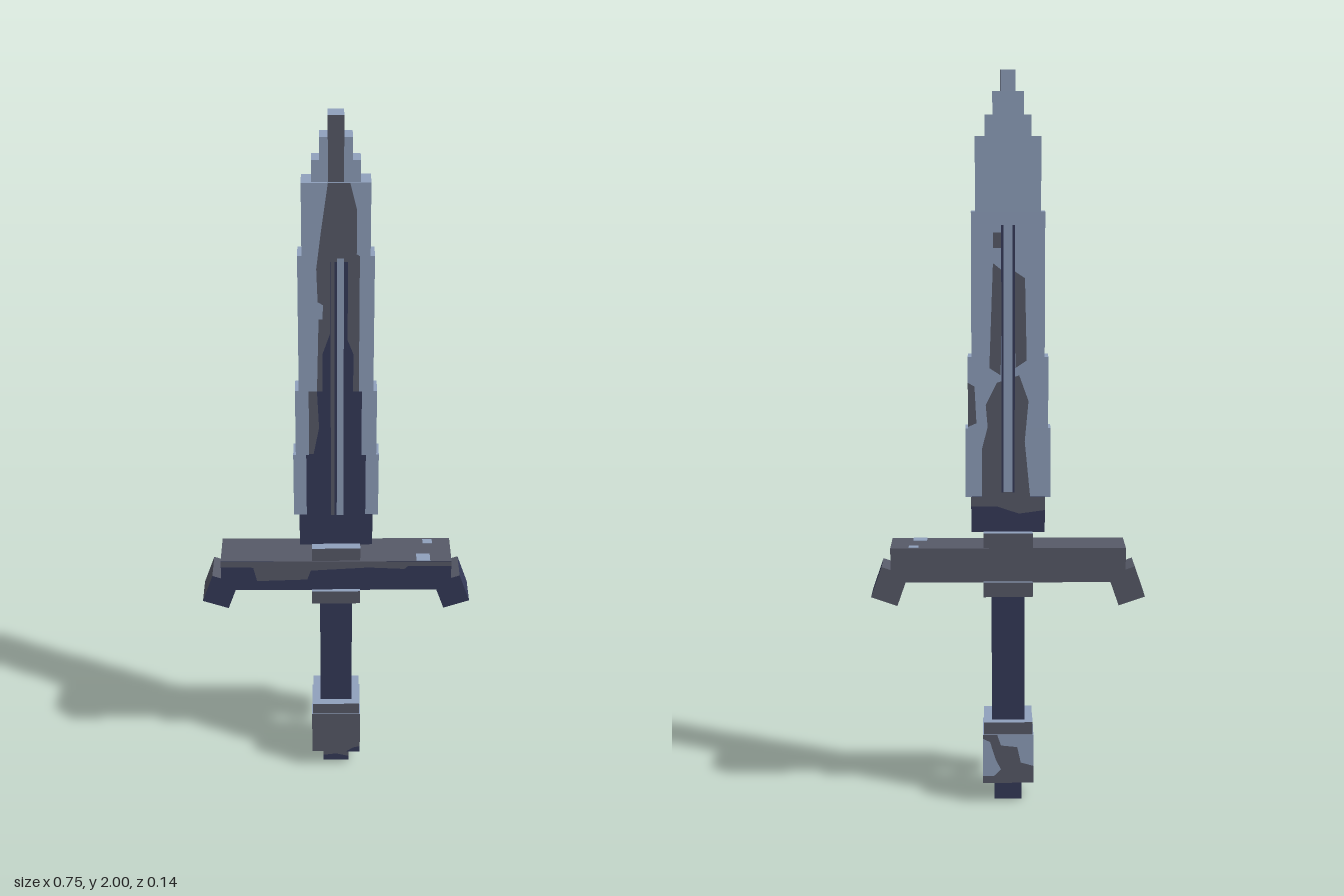
import * as THREE from 'three';

const mat = (name, color) => {
  const m = new THREE.MeshStandardMaterial({ color });
  m.name = name;
  return m;
};

export function createModel() {
  const light = mat('light steel', 0x8fa0bc);
  const grey = mat('worn grey', 0x575a68);
  const navy = mat('dark navy', 0x353a59);
  const sword = new THREE.Group();
  sword.name = 'sword';

  // Box from half width, bottom, top, half depth; faces: right, left, top, bottom, front, back
  const block = (parent, name, hx, y0, y1, hz, faces) => {
    const mesh = new THREE.Mesh(new THREE.BoxGeometry(hx * 2, y1 - y0, hz * 2), faces);
    mesh.position.y = (y0 + y1) / 2;
    mesh.name = name;
    parent.add(mesh);
    return mesh;
  };

  // Flat painted patch on a side: outline in (x or z, y), placed just off the surface
  const ANGLE = { front: 0, back: Math.PI, left: Math.PI / 2, right: -Math.PI / 2 };
  const patch = (name, side, depth, material, points, layer = 1) => {
    // outline is given in model coordinates, so convert to the side's own horizontal axis
    const sign = side === 'back' || side === 'left' ? -1 : 1;
    const shape = new THREE.Shape(points.map(([u, y]) => new THREE.Vector2(u * sign, y)));
    const geo = new THREE.ShapeGeometry(shape);
    geo.translate(0, 0, depth + 0.0012 * layer);
    geo.rotateY(ANGLE[side]);
    const mesh = new THREE.Mesh(geo, material);
    mesh.name = name;
    sword.add(mesh);
  };
  const rect = (x0, x1, y0, y1) => [[x0, y0], [x1, y0], [x1, y1], [x0, y1]];

  // Pommel
  block(sword, 'pommelTip', 0.038, 0, 0.065, 0.038, [navy, navy, grey, navy, navy, navy]);
  block(sword, 'pommel', 0.07, 0.06, 0.2, 0.07, [grey, grey, light, grey, grey, grey]);
  block(sword, 'pommelCap', 0.067, 0.2, 0.236, 0.067, [grey, grey, light, grey, grey, grey]);
  patch('pommelTipWear', 'front', 0.038, grey, [[-0.038, 0.02], [0, 0.025], [0.038, 0.015], [0.038, 0.06], [-0.038, 0.06]]);
  patch('pommelStain', 'front', 0.07, navy, [[0.03, 0.06], [0.07, 0.06], [0.07, 0.08], [0.05, 0.075]]);
  patch('pommelSideStain', 'left', 0.07, navy,
    [[0.045, 0.06], [-0.07, 0.06], [-0.07, 0.15], [-0.055, 0.14], [-0.05, 0.09], [-0.02, 0.075]]);
  patch('pommelShineRight', 'back', 0.07, light,
    [[-0.07, 0.11], [-0.07, 0.2], [0.03, 0.2], [0.02, 0.17], [-0.025, 0.165], [-0.035, 0.12]]);
  patch('pommelShineLeft', 'back', 0.07, light,
    [[0.07, 0.08], [0.07, 0.19], [0.05, 0.18], [0.035, 0.13], [0.02, 0.1], [0.04, 0.08]]);
  patch('pommelSideShine', 'right', 0.07, light, [[-0.07, 0.11], [-0.07, 0.17], [-0.03, 0.17], [-0.04, 0.12]]);

  // Grip
  block(sword, 'grip', 0.045, 0.236, 0.6, 0.045, navy);

  // Crossguard with collars and angled ends
  block(sword, 'lowerCollar', 0.067, 0.595, 0.636, 0.068, [navy, grey, light, navy, grey, grey]);
  block(sword, 'upperCollar', 0.067, 0.7, 0.77, 0.055, [grey, grey, light, navy, grey, grey]);
  block(sword, 'crossguard', 0.32, 0.634, 0.73, 0.058, [navy, navy, grey, navy, navy, grey]);
  patch('guardWear', 'front', 0.058, grey, [[-0.32, 0.73], [-0.32, 0.712], [-0.23, 0.71],
    [-0.22, 0.665], [-0.08, 0.67], [-0.07, 0.7], [0.09, 0.71], [0.19, 0.705], [0.2, 0.715], [0.32, 0.715], [0.32, 0.73]]);
  patch('guardEndWear', 'left', 0.32, grey, [[0.058, 0.7], [-0.058, 0.695], [-0.058, 0.73], [0.058, 0.73]]);
  patch('guardEndScuff', 'left', 0.32, light, rect(-0.04, 0.045, 0.668, 0.68));
  const shine = new THREE.Mesh(new THREE.BoxGeometry(0.038, 0.002, 0.034), light);
  shine.name = 'guardTopShine';
  shine.position.set(0.242, 0.7305, 0.04);
  sword.add(shine);
  const fleck = shine.clone();
  fleck.scale.set(0.7, 1, 0.6);
  fleck.position.set(0.257, 0.7305, -0.042);
  sword.add(fleck);
  for (const s of [-1, 1]) {
    const outer = s < 0 ? grey : navy;
    const end = block(sword, s < 0 ? 'rightGuardEnd' : 'leftGuardEnd', 0.038, 0.575, 0.665, 0.048,
      [outer, outer, grey, navy, navy, grey]);
    end.position.x = s * 0.324;
    end.rotation.z = s * 0.335;
  }

  // Blade: stepped slabs narrowing to the tip
  block(sword, 'bladeBase', 0.1, 0.768, 0.867, 0.03, navy);
  const steps = [
    // half width, bottom, top, half depth, left side colour, right side colour, front colour
    [0.115, 0.866, 1.056, 0.03, navy, grey, light],
    [0.108, 1.056, 1.25, 0.03, grey, grey, light],
    [0.098, 1.25, 1.635, 0.03, grey, navy, light],
    [0.087, 1.635, 1.83, 0.03, grey, grey, light],
    [0.061, 1.83, 1.886, 0.024, grey, grey, light],
    [0.041, 1.886, 1.945, 0.024, grey, grey, light],
    [0.02, 1.945, 2, 0.024, grey, grey, grey],
  ];
  steps.forEach(([hx, y0, y1, hz, l, r, f], i) =>
    block(sword, 'bladeStep' + (i + 1), hx, y0, y1, hz, [l, r, light, navy, f, light]));
  patch('bladeSideShade', 'left', 0.108, navy, rect(-0.03, 0.03, 1.056, 1.11));
  patch('bladeSideSpot', 'left', 0.098, navy, [[0.03, 1.25], [-0.005, 1.25], [-0.01, 1.27], [0.03, 1.29]]);

  // Front painted core
  patch('frontCoreLower', 'front', 0.03, navy, rect(-0.08, 0.08, 0.866, 1.056));
  patch('frontCoreMiddle', 'front', 0.03, navy, rect(-0.072, 0.068, 1.056, 1.25));
  patch('frontCoreUpper', 'front', 0.03, grey, [[-0.05, 1.25], [0.06, 1.25], [0.06, 1.635],
    [0.052, 1.64], [0.052, 1.76], [0.035, 1.83], [-0.02, 1.83], [-0.038, 1.7], [-0.05, 1.6], [-0.045, 1.45]]);
  patch('frontCoreShade', 'front', 0.03, navy, [[-0.035, 1.25], [0.045, 1.25], [0.045, 1.36], [0.03, 1.4],
    [0.03, 1.62], [-0.015, 1.62], [-0.015, 1.42], [-0.035, 1.36]], 2);
  patch('frontCoreWear', 'front', 0.03, grey, [[-0.072, 1.06], [-0.06, 1.06], [-0.045, 1.14], [-0.05, 1.25], [-0.072, 1.25]], 2);
  patch('frontFuller', 'front', 0.03, light, rect(0.002, 0.02, 0.866, 1.63), 3);
  patch('frontFullerEdge', 'front', 0.03, grey, rect(-0.014, -0.004, 0.866, 1.63), 3);
  patch('frontShoulderSpot', 'front', 0.024, grey, rect(-0.02, 0.02, 1.83, 1.945));
  patch('frontGlint', 'front', 0.03, light, [[-0.05, 1.46], [-0.035, 1.46], [-0.033, 1.5], [-0.05, 1.51]], 2);

  // Back painted core
  patch('backBaseWear', 'back', 0.03, grey, [[-0.1, 0.83], [-0.03, 0.82], [0.03, 0.84], [0.1, 0.84], [0.1, 0.866], [-0.1, 0.866]]);
  patch('backCoreLower', 'back', 0.03, grey, [[-0.06, 0.866], [0.07, 0.866], [0.07, 1.0], [0.055, 1.06],
    [0.06, 1.12], [0.03, 1.18], [-0.03, 1.2], [-0.055, 1.13], [-0.045, 1.02]]);
  patch('backCoreRight', 'back', 0.03, grey, [[-0.05, 1.24], [-0.02, 1.22], [-0.015, 1.48], [-0.045, 1.46]]);
  patch('backCoreLeft', 'back', 0.03, grey, [[0.05, 1.22], [0.02, 1.2], [0.015, 1.48], [0.04, 1.5]]);
  patch('backSpot', 'back', 0.03, grey, rect(0.015, 0.04, 1.54, 1.58));
  patch('backEdgeStain', 'back', 0.03, grey, [[0.108, 1.06], [0.085, 1.07], [0.09, 1.17], [0.108, 1.18]]);
  patch('backFuller', 'back', 0.03, light, rect(-0.012, 0.012, 0.88, 1.62), 2);
  for (const s of [-1, 1])
    patch('backFullerEdge', 'back', 0.03, navy, rect(s * 0.015 - 0.003, s * 0.015 + 0.003, 0.88, 1.6), 3);

  return sword;
}
